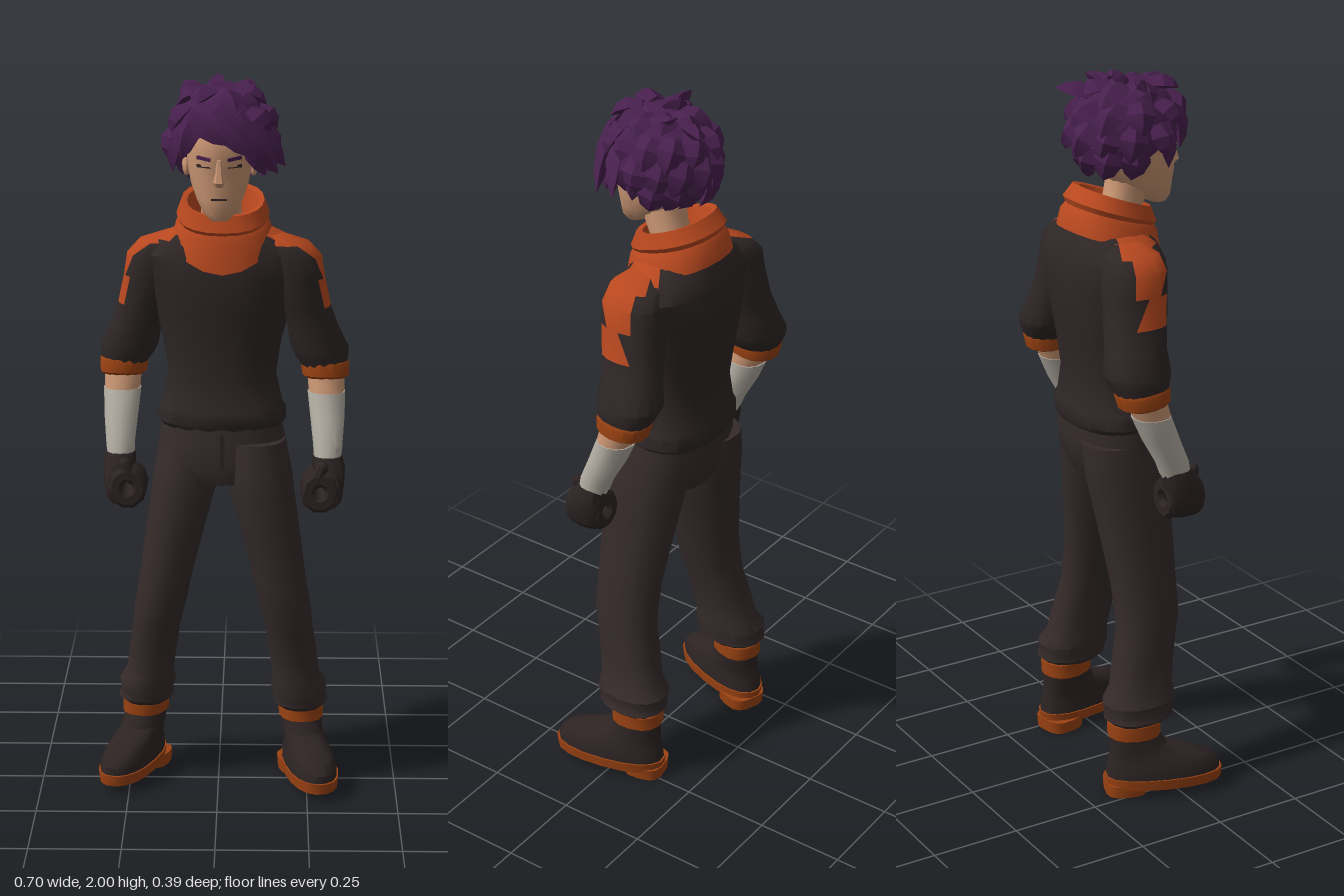
import * as THREE from 'three';
import { toCreasedNormals, mergeGeometries } from 'three/addons/utils/BufferGeometryUtils.js';

const V = (x, y, z) => new THREE.Vector3(x, y, z);
const colour = (name, hex) => Object.assign(new THREE.MeshStandardMaterial({ color: hex }), { name });

// Skin closed rings of points; pick(centre) chooses material 0 or 1 per face
function skin(rings, pick = () => 0) {
  const sets = [[], []];
  const tri = (a, b, c) => {
    const m = a.clone().add(b).add(c).divideScalar(3);
    for (const p of [a, b, c]) sets[pick(m)].push(p.x, p.y, p.z);
  };
  const n = rings[0].length;
  const mid = r => r.reduce((s, p) => s.add(p), V(0, 0, 0)).divideScalar(n);
  const first = rings[0], last = rings[rings.length - 1], c0 = mid(first), c1 = mid(last);
  for (let i = 0; i < n; i++) {
    const j = (i + 1) % n;
    for (let k = 0; k + 1 < rings.length; k++) {
      tri(rings[k][i], rings[k + 1][i], rings[k + 1][j]);
      tri(rings[k][i], rings[k + 1][j], rings[k][j]);
    }
    tri(c0, first[i], first[j]);
    tri(c1, last[j], last[i]);
  }
  const g = new THREE.BufferGeometry();
  g.setAttribute('position', new THREE.Float32BufferAttribute([...sets[0], ...sets[1]], 3));
  if (sets[1].length) {
    g.addGroup(0, sets[0].length / 3, 0);
    g.addGroup(sets[0].length / 3, sets[1].length / 3, 1);
  }
  return g;
}

// Loft of rounded sections [y, cx, cz, rx, rz, tilt, droop at the front]
function loft(sections, n = 14, pick, power = 2.3) {
  const list = sections[0][0] > sections[sections.length - 1][0] ? [...sections].reverse() : sections;
  const bend = v => Math.sign(v) * Math.abs(v) ** (2 / power);
  return skin(list.map(([y, cx, cz, rx, rz, tilt = 0, droop = 0]) =>
    Array.from({ length: n }, (_, i) => {
      const a = i / n * Math.PI * 2, x = rx * bend(Math.cos(a)), z = rz * bend(Math.sin(a));
      return V(cx + x, y + tilt * z - droop * Math.max(0, Math.sin(a)) ** 6, cz + z);
    })), pick);
}

// Add a mesh; side -1 mirrors the geometry and keeps faces outward
function part(group, name, geo, mat, side = 1, crease = 0.65) {
  let g = geo.index ? geo.toNonIndexed() : geo;
  for (const k of Object.keys(g.attributes)) if (k !== 'position') g.deleteAttribute(k);
  if (side < 0) {
    g.scale(-1, 1, 1);
    const p = g.attributes.position, a = V(0, 0, 0), b = V(0, 0, 0);
    for (let i = 0; i < p.count; i += 3) {
      a.fromBufferAttribute(p, i + 1); b.fromBufferAttribute(p, i + 2);
      p.setXYZ(i + 1, b.x, b.y, b.z); p.setXYZ(i + 2, a.x, a.y, a.z);
    }
  }
  g.computeVertexNormals();
  const mesh = new THREE.Mesh(toCreasedNormals(g, crease), mat);
  mesh.name = name;
  group.add(mesh);
  return mesh;
}

// Pointed lock of hair from a to b, bowed away from the head
const HEAD = V(0.01, 1.835, 0.015);
function lock(a, b, w, bow = 0.025) {
  const m = a.clone().lerp(b, 0.5), out = m.clone().sub(HEAD).normalize();
  const dir = b.clone().sub(a).normalize(), side = dir.clone().cross(out).normalize();
  const up = side.clone().cross(dir);
  const curve = new THREE.QuadraticBezierCurve3(a, m.addScaledVector(out, bow), b);
  return skin([[0, 0.7], [0.35, 1], [0.7, 0.68], [1, 0.02]].map(([u, f]) => {
    const p = curve.getPoint(u);
    return [[1, 0], [0, 0.55], [-1, 0], [0, -0.55]].map(([s, t]) =>
      p.clone().addScaledVector(side, s * w * f).addScaledVector(up, t * w * f));
  }));
}

function hairGeometry() {
  // Scalp cap, cut along a slope from the forehead to the nape
  const cap = new THREE.SphereGeometry(1, 22, 14).toNonIndexed();
  const p = cap.attributes.position;
  for (let i = 0; i < p.count; i++) {
    const x = p.getX(i), y = p.getY(i), z = p.getZ(i);
    const k = 1 + 0.03 * Math.sin(x * 7 + y * 5) * Math.cos(z * 6 + x * 4);
    const pz = HEAD.z + 0.15 * k * z;
    p.setXYZ(i, HEAD.x + 0.127 * k * x, Math.max(HEAD.y + 0.138 * k * y, 1.775 + 0.6 * pz), pz);
  }
  cap.deleteAttribute('normal'); cap.deleteAttribute('uv');
  const parts = [cap];
  // Layered rows of locks, combed towards the left
  const at = (el, az, r) => V(0.128 * Math.cos(el) * Math.cos(az), 0.138 * Math.sin(el), 0.152 * Math.cos(el) * Math.sin(az)).multiplyScalar(r).add(HEAD);
  const rows = [[1.2, 0.6, 8, 1], [0.7, 0.1, 12, 0.75], [0.25, -0.4, 14, 0.45], [-0.15, -0.85, 13, -0.2]];
  rows.forEach(([e0, e1, n, limit], r) => {
    for (let j = 0; j < n; j++) {
      const az = (j + r * 0.37) / n * Math.PI * 2;
      if (Math.sin(az) > limit) continue;
      const vary = Math.sin(j * 4.7 + r * 2.3);
      parts.push(lock(at(e0, az, 0.97), at(e1 + vary * 0.1, az - 0.35 * Math.sin(az), 1.13 + vary * 0.07), 0.04));
    }
  });
  // Fringe, temples and crown tufts: base, tip, width
  for (const [a, b, w] of [
    [[-0.06, 1.92, 0.12], [0.04, 1.835, 0.18], 0.045], [[-0.01, 1.92, 0.135], [0.1, 1.8, 0.165], 0.045],
    [[0.04, 1.9, 0.135], [0.16, 1.755, 0.115], 0.048], [[0.09, 1.88, 0.09], [0.18, 1.765, 0.05], 0.045],
    [[0.08, 1.84, 0.11], [0.125, 1.75, 0.11], 0.035], [[-0.06, 1.9, 0.12], [-0.095, 1.79, 0.11], 0.04],
    [[-0.1, 1.87, 0.06], [-0.12, 1.75, 0.06], 0.04], [[0.11, 1.84, 0.02], [0.12, 1.74, 0.03], 0.035],
    [[-0.01, 1.94, 0.0], [0.0, 2.0, -0.04], 0.035], [[-0.05, 1.93, 0.02], [-0.09, 1.985, -0.01], 0.035],
    [[0.05, 1.94, -0.02], [0.09, 1.98, -0.07], 0.035], [[0.03, 1.94, -0.08], [0.09, 1.95, -0.16], 0.035],
  ]) parts.push(lock(V(...a), V(...b), w, 0.015));
  return mergeGeometries(parts);
}

export function createModel() {
  const shirt = colour('shirt cloth', 0x2f2626), trousers = colour('trouser cloth', 0x352a2a);
  const orange = colour('orange cloth', 0xb8481f), trim = colour('burnt orange trim', 0x9a4212);
  const skinTone = colour('skin', 0xcb9774), wrap = colour('bandage', 0xb5b0a5);
  const leather = colour('dark leather', 0x2d2323), hairTone = colour('purple hair', 0x48204e);
  const model = new THREE.Group();
  model.name = 'figure';

  // Shirt body with an orange strip over each shoulder
  part(model, 'shirt', loft([
    [1.035, 0.01, -0.055, 0.162, 0.112], [1.05, 0.01, -0.055, 0.177, 0.12], [1.085, 0.01, -0.055, 0.176, 0.12],
    [1.1, 0.01, -0.055, 0.166, 0.113], [1.18, 0.01, -0.055, 0.148, 0.108], [1.27, 0.01, -0.058, 0.162, 0.115],
    [1.36, 0.012, -0.06, 0.185, 0.125], [1.45, 0.015, -0.058, 0.205, 0.135], [1.515, 0.015, -0.06, 0.225, 0.127],
    [1.555, 0.015, -0.06, 0.185, 0.112], [1.6, 0.015, -0.06, 0.1, 0.09]], 18,
    m => +(m.y > 1.51 && Math.abs(m.x) > 0.09 && Math.abs(m.z + 0.045 - m.x * 0.1) < 0.05)), [shirt, orange]);

  // High folded collar, dipping to a point in front
  part(model, 'collar', loft([
    [1.545, 0.012, -0.045, 0.142, 0.132, -0.3, 0.03], [1.6, 0.012, -0.045, 0.128, 0.122, -0.25, 0.01],
    [1.612, 0.012, -0.042, 0.118, 0.112, -0.3], [1.625, 0.012, -0.042, 0.126, 0.118, -0.32],
    [1.663, 0.012, -0.035, 0.112, 0.095, -0.35], [1.66, 0.012, -0.035, 0.097, 0.08, -0.35],
    [1.6, 0.012, -0.035, 0.075, 0.07, -0.3]], 20), orange);

  // Neck and head
  part(model, 'neck', loft([[1.56, 0.01, -0.045, 0.058, 0.06], [1.65, 0.008, 0, 0.054, 0.056], [1.72, 0.006, 0.015, 0.055, 0.06]], 12), skinTone);
  part(model, 'head', loft([
    [1.628, 0.005, 0.102, 0.024, 0.022], [1.645, 0.005, 0.09, 0.042, 0.045], [1.68, 0.005, 0.06, 0.062, 0.078],
    [1.72, 0.005, 0.04, 0.077, 0.103], [1.765, 0.005, 0.028, 0.086, 0.115], [1.79, 0.005, 0.026, 0.088, 0.125],
    [1.84, 0.005, 0.02, 0.09, 0.127], [1.9, 0.005, 0.015, 0.08, 0.11], [1.93, 0.005, 0.01, 0.05, 0.07]], 18, undefined, 2.2), skinTone);
  part(model, 'nose', loft([[1.722, 0.005, 0.143, 0.01, 0.01], [1.735, 0.005, 0.148, 0.016, 0.022],
    [1.76, 0.005, 0.145, 0.01, 0.018], [1.795, 0.005, 0.145, 0.007, 0.01]], 6), skinTone);
  part(model, 'mouth', new THREE.BoxGeometry(0.042, 0.005, 0.008).translate(0.005, 1.688, 0.137), leather);
  for (const s of [1, -1]) {
    const face = new THREE.Group();
    face.name = s > 0 ? 'leftFaceDetails' : 'rightFaceDetails';
    face.position.x = 0.005;
    model.add(face);
    const plate = (name, y, h, z, roll) => part(face, name,
      new THREE.BoxGeometry(0.04, h, 0.008).rotateZ(roll).rotateY(0.42).translate(0.04, y, z), name === 'eye' ? leather : hairTone, s);
    plate('eyebrow', 1.797, 0.009, 0.138, 0.15);
    plate('eye', 1.776, 0.008, 0.13, 0.05);
    part(face, 'ear', new THREE.SphereGeometry(1, 8, 6).scale(0.012, 0.034, 0.02).rotateX(-0.2).translate(0.09, 1.765, 0), skinTone, s);
  }
  part(model, 'hair', hairGeometry(), hairTone, 1, 0.5);

  // Trouser seat
  part(model, 'trouserSeat', loft([[1.08, 0.01, -0.055, 0.155, 0.107], [1.0, 0.01, -0.05, 0.175, 0.115],
    [0.93, 0.01, -0.04, 0.18, 0.115], [0.885, 0.01, -0.035, 0.11, 0.1]], 16), trousers);
  part(model, 'fly', new THREE.BoxGeometry(0.012, 0.1, 0.008).translate(0.012, 0.98, 0.07), leather);

  for (const s of [1, -1]) {
    const label = s > 0 ? 'left' : 'right';
    const arm = new THREE.Group();
    arm.name = label + 'Arm';
    arm.position.set(0.015, 0, s * 0.02);
    model.add(arm);
    // Sleeve with a strip down the outer front, then rolled cuff
    part(arm, 'sleeve', loft([
      [1.57, 0.13, -0.055, 0.03, 0.04], [1.545, 0.172, -0.058, 0.062, 0.075], [1.51, 0.192, -0.06, 0.074, 0.088],
      [1.45, 0.2, -0.065, 0.075, 0.088], [1.37, 0.22, -0.075, 0.072, 0.085], [1.31, 0.243, -0.088, 0.07, 0.083],
      [1.25, 0.262, -0.095, 0.08, 0.09], [1.225, 0.268, -0.093, 0.074, 0.082], [1.195, 0.278, -0.09, 0.062, 0.07]], 16,
      m => +(m.y > 1.52 ? Math.abs(m.z + 0.045) < 0.05 : m.y > 1.375 && m.x > 0.22 && m.z > -0.09 && m.z < -0.01)), [shirt, orange], s);
    part(arm, 'cuff', loft([[1.215, 0.277, -0.092, 0.062, 0.07, 0.1], [1.205, 0.278, -0.09, 0.067, 0.075, 0.1],
      [1.17, 0.28, -0.085, 0.064, 0.07, 0.1], [1.163, 0.28, -0.083, 0.054, 0.058, 0.1]], 14), trim, s);
    part(arm, 'forearm', loft([[1.19, 0.28, -0.085, 0.052, 0.056], [1.11, 0.283, -0.055, 0.048, 0.048]], 12), skinTone, s);
    part(arm, 'bandage', loft([[1.13, 0.282, -0.064, 0.052, 0.052], [1.06, 0.285, -0.035, 0.047, 0.05],
      [0.99, 0.286, 0, 0.04, 0.045], [0.94, 0.284, 0.015, 0.037, 0.04]], 12), wrap, s);
    // Gloved fist: back of the hand, four curled fingers, thumb
    part(arm, 'gloveBack', loft([[0.965, 0.284, 0.012, 0.041, 0.043], [0.935, 0.288, 0.022, 0.045, 0.05],
      [0.9, 0.304, 0.034, 0.028, 0.052], [0.85, 0.302, 0.04, 0.024, 0.05], [0.83, 0.29, 0.042, 0.018, 0.044]], 10), leather, s);
    for (let f = 0; f < 4; f++)
      part(arm, 'finger', new THREE.TorusGeometry(0.034, 0.021, 6, 10).scale(1, 1.1, 0.8).translate(0.264, 0.878, -0.002 + f * 0.027), leather, s);
    part(arm, 'thumb', new THREE.CapsuleGeometry(0.017, 0.045, 3, 8).rotateZ(-0.35).translate(0.262, 0.925, 0.078), leather, s);

    const leg = new THREE.Group();
    leg.name = label + 'Leg';
    leg.position.set(0.012, 0, s * 0.02);
    model.add(leg);
    part(leg, 'trouserLeg', loft([
      [1.0, 0.088, -0.048, 0.085, 0.105], [0.92, 0.1, -0.035, 0.09, 0.115], [0.86, 0.108, -0.028, 0.09, 0.113],
      [0.75, 0.131, -0.02, 0.082, 0.106], [0.6, 0.16, -0.012, 0.073, 0.095], [0.51, 0.177, -0.012, 0.071, 0.093],
      [0.46, 0.186, -0.02, 0.067, 0.088], [0.38, 0.198, -0.038, 0.067, 0.09], [0.31, 0.207, -0.05, 0.066, 0.093],
      [0.275, 0.215, -0.06, 0.08, 0.106], [0.245, 0.217, -0.062, 0.074, 0.1], [0.23, 0.22, -0.065, 0.078, 0.1],
      [0.212, 0.22, -0.068, 0.06, 0.075]], 14), trousers, s);

    // Boot, turned outward about the ankle
    const boot = new THREE.Group();
    boot.name = label + 'Boot';
    boot.position.set(s * 0.222, 0, -0.08);
    boot.rotation.y = s > 0 ? 0.2 : -0.34;
    leg.add(boot);
    part(boot, 'bootBand', loft([[0.222, 0, 0, 0.056, 0.068], [0.215, 0, 0, 0.062, 0.074], [0.175, 0, 0, 0.062, 0.074], [0.168, 0, 0, 0.054, 0.066]], 14), trim, s);
    part(boot, 'bootUpper', loft([[0.18, 0, 0, 0.056, 0.068], [0.14, 0.002, 0.012, 0.056, 0.08], [0.12, 0.004, 0.04, 0.057, 0.11],
      [0.1, 0.007, 0.072, 0.062, 0.145], [0.075, 0.008, 0.082, 0.068, 0.16], [0.045, 0.008, 0.082, 0.069, 0.163]], 18), leather, s);
    part(boot, 'sole', loft([[0.055, 0.008, 0.083, 0.073, 0.168], [0.025, 0.008, 0.083, 0.07, 0.165]], 18), trim, s);
    part(boot, 'heel', loft([[0.035, 0, -0.025, 0.06, 0.06], [0, 0, -0.025, 0.058, 0.058]], 14, undefined, 3), trim, s);
  }
  return model;
}
